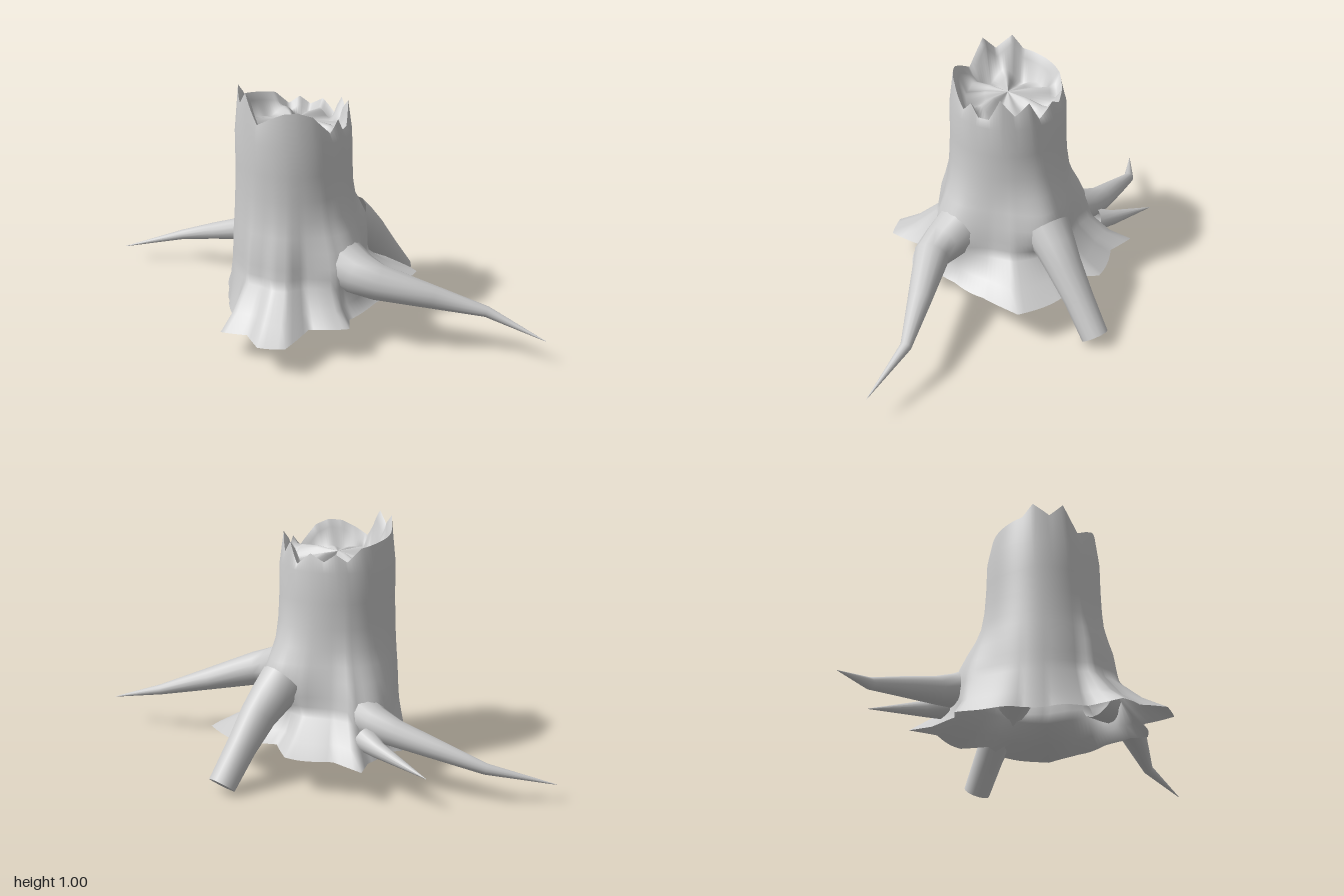
import * as THREE from 'three';

const material = new THREE.MeshStandardMaterial({ color: 0xcccccc, side: THREE.DoubleSide });
const SEGMENTS = 120;
const AXIS = { x: -0.065, z: 0.04 };

// Skirt outline: angle in degrees (0 = +x, 90 = +z), radius from the trunk axis
const SKIRT = [[6, 0.38], [30, 0.375], [36, 0.435], [45, 0.415], [57, 0.38], [69, 0.505], [81, 0.507],
  [90, 0.43], [105, 0.445], [114, 0.32], [141, 0.275], [162, 0.275], [186, 0.32], [207, 0.37], [216, 0.35],
  [234, 0.43], [240, 0.525], [252, 0.44], [276, 0.452], [288, 0.38], [303, 0.46], [327, 0.52], [345, 0.42]];

// Broken rim: angle, height
const RIM = [[3, 0.85], [12, 0.9], [24, 0.855], [45, 0.93], [60, 0.95], [75, 0.945], [90, 0.92], [105, 0.89],
  [123, 1.0], [138, 0.945], [156, 1.0], [168, 0.945], [201, 0.925], [225, 0.91], [240, 0.86], [252, 0.89],
  [264, 0.86], [279, 0.89], [297, 0.84], [309, 0.92], [324, 0.87], [339, 0.94], [351, 0.85]];

// Levels from top to foot: height, round radius, share of the skirt outline
const LEVELS = [[0.82, 0.23, 0], [0.7, 0.23, 0.01], [0.6, 0.232, 0.02], [0.52, 0.235, 0.04], [0.46, 0.237, 0.09],
  [0.4, 0.24, 0.15], [0.34, 0.242, 0.18], [0.3, 0.244, 0.2], [0.26, 0.246, 0.24], [0.18, 0.25, 0.62]];

// Swellings where the trunk runs out into a root: angle, height, size
const SWELLINGS = [[20, 0.3, 0.085], [223, 0.27, 0.075], [299, 0.37, 0.075]];

// Lookup in a table that wraps round at 360 degrees; blending 1/value gives near-straight outline edges
function around(table, deg) {
  const i = table.findLastIndex(([a]) => a <= deg);
  const [a, va] = table.at(i < 0 ? -1 : i);
  const [b, vb] = table[(i + 1) % table.length];
  const f = ((deg - a + 360) % 360) / ((b - a + 360) % 360);
  return 1 / THREE.MathUtils.lerp(1 / va, 1 / vb, f);
}

// Extra trunk radius at an angle and height
function swelling(deg, y) {
  return SWELLINGS.reduce((sum, [angle, height, size]) => {
    const turn = ((deg - angle + 540) % 360 - 180) / 22;
    const rise = (y - height) / (y > height ? 0.17 : 0.08);
    return sum + size * Math.exp(-turn * turn - rise * rise);
  }, 0);
}

// Skin a list of closed rings of equal length
function loft(rings) {
  const n = rings[0].length;
  const index = [];
  for (let i = 0; i < rings.length - 1; i++) {
    for (let j = 0; j < n; j++) {
      const a = i * n + j, b = i * n + (j + 1) % n;
      index.push(a, b, a + n, b, b + n, a + n);
    }
  }
  const geometry = new THREE.BufferGeometry().setFromPoints(rings.flat());
  geometry.setIndex(index);
  geometry.computeVertexNormals();
  return geometry;
}

// Ring about the trunk axis; shape(deg, radians) returns [radius, height]
function trunkRing(shape) {
  return Array.from({ length: SEGMENTS }, (_, i) => {
    const deg = i * 360 / SEGMENTS, t = THREE.MathUtils.degToRad(deg);
    const [r, y] = shape(deg, t);
    return new THREE.Vector3(AXIS.x + r * Math.cos(t), y, AXIS.z + r * Math.sin(t));
  });
}

// One ring per point [x, y, z, radius], square to the path
function rootRings(points, sides = 14) {
  const path = points.map(p => new THREE.Vector3(p[0], p[1], p[2]));
  const up = new THREE.Vector3(0, 1, 0);
  return path.map((centre, i) => {
    const before = path[Math.max(i - 1, 0)], after = path[Math.min(i + 1, path.length - 1)];
    const tangent = after.clone().sub(before).normalize();
    const side = new THREE.Vector3().crossVectors(up, tangent).normalize();
    const over = new THREE.Vector3().crossVectors(tangent, side);
    return Array.from({ length: sides }, (_, j) => {
      const a = j * 2 * Math.PI / sides, r = points[i][3];
      return centre.clone().addScaledVector(side, r * Math.cos(a)).addScaledVector(over, r * Math.sin(a));
    });
  });
}

export function createModel() {
  const group = new THREE.Group();
  const add = (name, geometry) => {
    const mesh = new THREE.Mesh(geometry, material);
    mesh.name = name;
    group.add(mesh);
  };

  // Hollow trunk with jagged rim, swelling into the roots, with a flaring open foot
  const rim = trunkRing(deg => [0.213, around(RIM, deg)]);
  const footHeight = t => 0.13 + 0.028 * Math.cos(t + 0.6) + 0.004 * Math.sin(9 * t);
  const rings = LEVELS.map(([y, r, w]) => trunkRing((deg, t) => [
    THREE.MathUtils.lerp(r, around(SKIRT, deg), w) + swelling(deg, y),
    y + (y < 0.2 ? 0.6 * (footHeight(t) - 0.13) : 0),
  ]));
  const foot = trunkRing((deg, t) => [around(SKIRT, deg), footHeight(t)]);
  add('trunk', loft([rim, ...rings, foot]));

  // Splintered, unevenly folded wood inside the rim
  const fold = t => 0.6 * Math.sin(5 * t + 1) + 0.6 * Math.sin(8 * t);
  add('brokenTop', loft([
    trunkRing(() => [0.001, 0.86]),
    trunkRing((deg, t) => [0.09, 0.85 + 0.02 * fold(t)]),
    trunkRing((deg, t) => [0.165, 0.835 + 0.03 * fold(t)]),
    trunkRing(deg => [0.192, around(RIM, deg) - 0.03]),
    rim,
  ]));

  // Roots
  add('leftRoot', loft(rootRings([[0.2, 0.325, 0.13, 0.1], [0.27, 0.305, 0.15, 0.085], [0.35, 0.288, 0.158, 0.072],
    [0.55, 0.235, 0.09, 0.047], [0.75, 0.183, 0.025, 0.022], [0.99, 0.115, 0.04, 0.001]])));
  add('rightRoot', loft(rootRings([[-0.24, 0.275, -0.17, 0.085], [-0.31, 0.252, -0.205, 0.068],
    [-0.4, 0.23, -0.225, 0.054], [-0.58, 0.183, -0.225, 0.038], [-0.75, 0.135, -0.22, 0.022],
    [-1, 0.07, -0.12, 0.001]])));
  add('rootSpike', loft(rootRings([[-0.29, 0.205, -0.26, 0.05], [-0.36, 0.187, -0.31, 0.032],
    [-0.57, 0.14, -0.4, 0.001]])));

  // Back root ends in a flat cut
  const back = rootRings([[0.07, 0.375, -0.21, 0.095], [0.1, 0.325, -0.265, 0.083], [0.13, 0.265, -0.32, 0.072],
    [0.165, 0.16, -0.405, 0.06], [0.205, 0.034, -0.5, 0.055]]);
  add('backRoot', loft(back));
  const cut = back.at(-1);
  const cutCentre = new THREE.Vector3(0.205, 0.034, -0.5);
  add('backRootCut', loft([cut, cut.map(() => cutCentre)]));

  return group;
}
